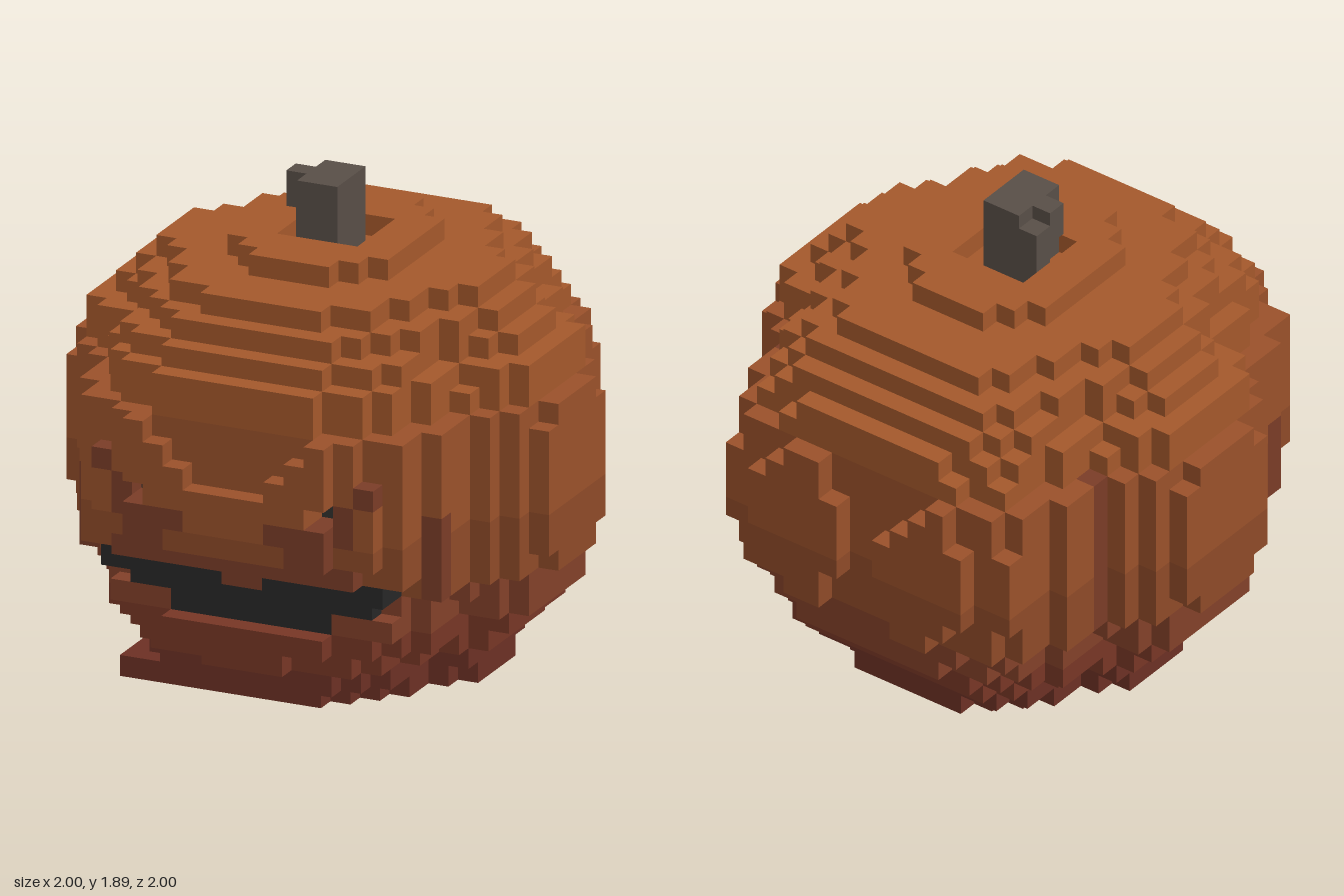
import * as THREE from 'three';

const U = 1 / 12; // voxel size
const LAYERS = 20;

// Lobed plan: half width (in voxels) for each row away from the centre
const FRONT = [12, 12, 12, 11, 10, 9, 9, 9, 8, 8, 7, 5];
const BACK = [12, 12, 12, 11, 10, 9, 9, 9, 8, 8, 8, 6];
// Scale of the plan for each layer, bottom to top
const SCALE = [0.667, 0.7, 0.78, 0.84, 0.9, 0.93, 0.965, 0.98, 1, 1, 1, 1, 0.98, 0.965, 0.92, 0.9, 0.83, 0.75, 0.667, 0.37];

const mirror = (i) => (i < 0 ? -1 - i : i); // distance of a cell from the centre plane
const within = (v, range) => range && v >= range[0] && v <= range[1];

// Face features: layer -> range of cells either side of the middle
const MOUTH = { 4: [0, 3], 5: [0, 5], 6: [1, 6] };
const STAIN = { 6: [0, 0], 7: [0, 5], 8: [3, 4], 9: [2, 5], 10: [5, 5], 11: [6, 6] };
const isEye = (x, y) => y === 10 && mirror(x) === 4;
// Half width of the valleys that widen upwards between brows and back lobes
const VALLEY = { 11: 2, 12: 3, 13: 4 };

function solid(x, y, z) {
  if (y < 0 || y >= LAYERS) return false;
  const ax = mirror(x), az = mirror(z);
  if (y === 19) { // crown ring with a hollow around the stem
    if (ax < 2 && az < 2) return false;
    return az < 5 && ax < Math.min(4, 6 - az);
  }
  if (y === 0 && x < 0 && z >= 0 && ax < 7 && az < 8) return true; // square foot corner
  const chin = (y === 1 || y === 2) && z >= 7; // chin juts forward by one voxel
  if (y === 2 && z === 9 && ax > 1) return false;
  const s = SCALE[chin ? y + 1 : y];
  const row = Math.floor((az + 0.5) / s);
  if (row > 11) return false;

  // Outline of the layer, with lobes and corners rounded off up and down
  const d = Math.abs(y - 9.5);
  let halfWidth = Math.round((z < 0 ? BACK : FRONT)[row] * s);
  if (z === -12) halfWidth -= d > 3 ? 2 : d > 2 ? 1 : 0;
  if (az === 10 && d > 2) halfWidth -= 1;
  if (z === -12 && x < 0 && y === 13) halfWidth += 1;
  if (ax >= halfWidth || ax + az > 17.6 - d * d * 0.09) return false;
  if (ax === 11 && az > 1 && d > 3) return false;

  // Groove down the back, flaring on one side, and valley between the brows
  if (z === -12 && ax < (d > 2 ? 2 : 1)) return false;
  if (z === -12 && x < 0 && ax < VALLEY[y]) return false;
  if (z === 11 && ax < VALLEY[y]) return false;
  // Recessed mouth with open corners, overhanging lip and eye sockets
  if (z >= 9 && (y === 4 || y === 5)) return false;
  if (z >= 10 && y === 6) return false;
  if (z >= 8 && (y === 5 || y === 6) && ax > MOUTH[y][1]) return false;
  if (z >= 11 && y === 7) return false;
  return !(z >= 10 && isEye(x, y));
}

// Part that a voxel belongs to
function partOf(x, y, z) {
  const ax = mirror(x);
  if (z >= 7) {
    if (within(ax, MOUTH[y])) return 'mouth';
    if (isEye(x, y)) return 'eyes';
    if (within(ax, STAIN[y]) || (ax === 8 && y > 4 && y < 10)) return 'faceStain';
  }
  if (z === 7 && ax >= 8 && y > 4 && y < 10) return 'faceStain';
  if (z === -6 && ax >= 8 && y > 5 && y < 14) return 'faceStain';
  const bands = [[2, 'base'], [4, 'lowerBody'], [6, 'lowerMiddle'], [9, 'waist'], [14, 'middle'], [LAYERS, 'crown']];
  return bands.find(([top]) => y < top)[1];
}

const COLORS = {
  base: 0x6c3024, lowerBody: 0x773625, lowerMiddle: 0x824029, waist: 0x8e4a28, middle: 0x9a512a,
  crown: 0xa4582b, faceStain: 0x7a3c27, mouth: 0x272727, eyes: 0x30302e, stem: 0x584e47,
};

// Emits the four corners of an exposed voxel side
function addFace(buf, cell, axis, dir) {
  const u = (axis + 1) % 3, v = (axis + 2) % 3;
  const corners = [[0, 0], [1, 0], [1, 1], [0, 1]].map(([a, b]) => {
    const p = [...cell];
    p[axis] += dir > 0 ? 1 : 0;
    p[u] += a;
    p[v] += b;
    return p.map((c) => c * U);
  });
  if (dir < 0) corners.reverse();
  const n = buf.positions.length / 3;
  for (const c of corners) {
    buf.positions.push(...c);
    buf.normals.push(...[0, 1, 2].map((i) => (i === axis ? dir : 0)));
  }
  buf.index.push(n, n + 1, n + 2, n, n + 2, n + 3);
}

export function createModel() {
  const model = new THREE.Group();
  model.name = 'pumpkin';
  const material = (name) => new THREE.MeshStandardMaterial({ color: COLORS[name] });

  // Collect the exposed sides of the voxel body, sorted by part
  const buffers = {};
  for (let y = 0; y < LAYERS; y++) {
    for (let z = -12; z < 12; z++) {
      for (let x = -12; x < 12; x++) {
        if (!solid(x, y, z)) continue;
        const name = partOf(x, y, z);
        const buf = (buffers[name] ??= { positions: [], normals: [], index: [] });
        for (let axis = 0; axis < 3; axis++) {
          for (const dir of [-1, 1]) {
            const next = [x, y, z];
            next[axis] += dir;
            if (!solid(...next)) addFace(buf, [x, y, z], axis, dir);
          }
        }
      }
    }
  }
  for (const [name, buf] of Object.entries(buffers)) {
    const geometry = new THREE.BufferGeometry();
    geometry.setAttribute('position', new THREE.Float32BufferAttribute(buf.positions, 3));
    geometry.setAttribute('normal', new THREE.Float32BufferAttribute(buf.normals, 3));
    geometry.setIndex(buf.index);
    const mesh = new THREE.Mesh(geometry, material(name));
    mesh.name = name;
    model.add(mesh);
  }

  // Stem: blocks given by min and max corners, in voxels
  const stem = new THREE.Group();
  stem.name = 'stem';
  const blocks = [
    [-1, 19, -1, 1, 22.7, 2], // trunk
    [-2, 19, -1, -1, 22, 0], // low side
    [-2, 21, 0, -1, 22.7, 1], // overhanging knob
  ];
  for (const [x0, y0, z0, x1, y1, z1] of blocks) {
    const block = new THREE.Mesh(
      new THREE.BoxGeometry((x1 - x0) * U, (y1 - y0) * U, (z1 - z0) * U), material('stem'));
    block.position.set((x0 + x1) / 2, (y0 + y1) / 2, (z0 + z1) / 2).multiplyScalar(U);
    block.name = 'stemBlock';
    stem.add(block);
  }
  model.add(stem);
  return model;
}
